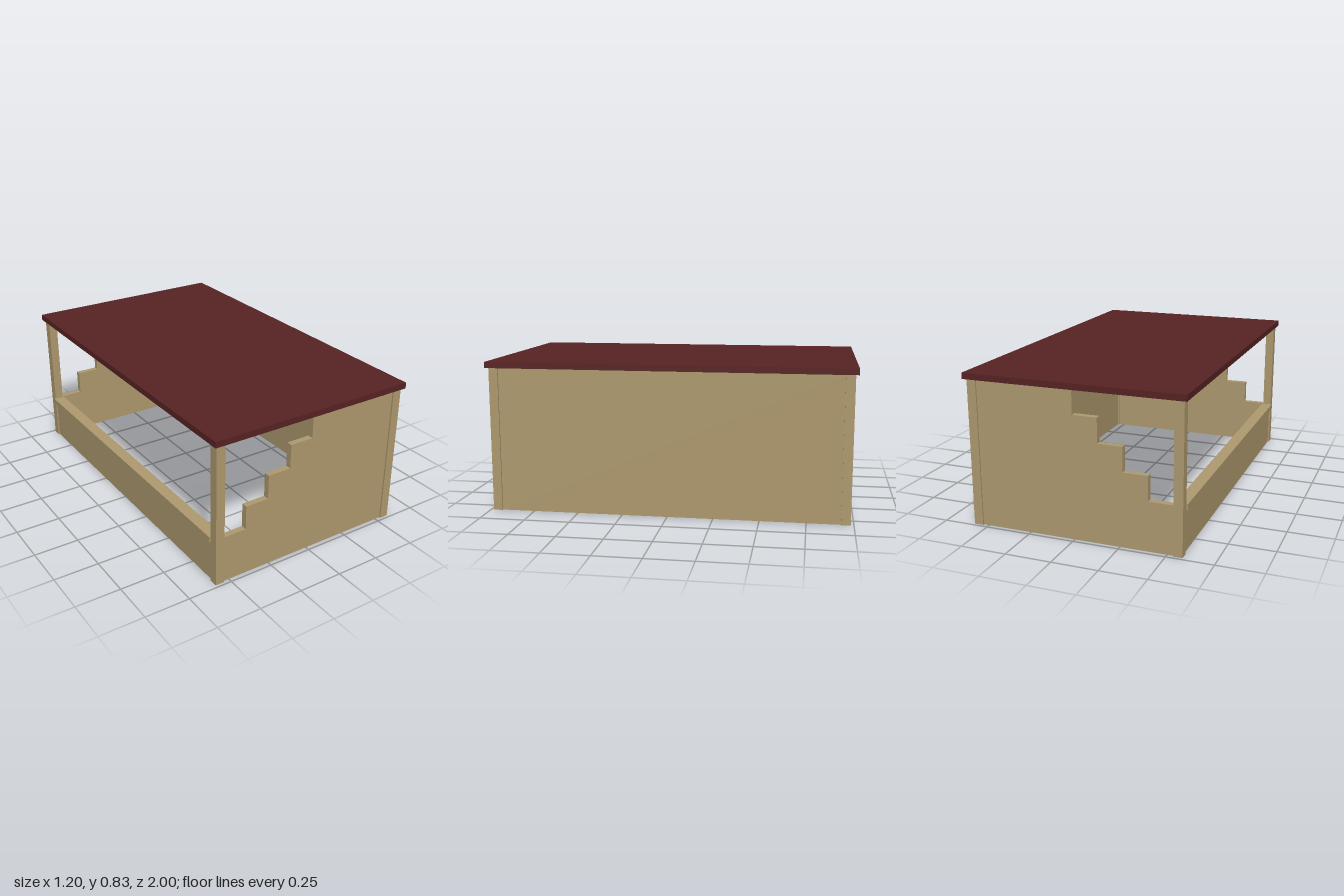
import * as THREE from 'three';

export function createModel() {
  const group = new THREE.Group();
  const wood = new THREE.MeshStandardMaterial({ color: 0xb09b70 });
  wood.name = 'tan wood';
  const red = new THREE.MeshStandardMaterial({ color: 0x582323 });
  red.name = 'dark red roof';

  // Box given by its centre x and z and its bottom y
  function box(name, material, w, h, d, x, y, z) {
    const mesh = new THREE.Mesh(new THREE.BoxGeometry(w, h, d), material);
    mesh.name = name;
    mesh.position.set(x, y + h / 2, z);
    group.add(mesh);
  }

  const wall = 0.0333, post = 0.05, height = 0.8;
  const postX = 0.5583, postZ = 0.9583;
  const innerX = postX - post / 2, innerZ = postZ - post / 2;

  // Roof slab
  box('roof', red, 1.2, 0.0333, 2, 0, height, 0);

  // Corner posts
  for (const sx of [-1, 1]) {
    for (const sz of [-1, 1]) {
      box('cornerPost', wood, post, height, post, sx * postX, 0, sz * postZ);
    }
  }

  // Full wall, and low wall with its counter on the open side
  box('fullWall', wood, wall, height, innerZ * 2, postX, 0, 0);
  box('lowWall', wood, wall, 0.2333, innerZ * 2, -postX, 0, 0);
  box('counter', wood, 0.0667, 0.0333, innerZ * 2, -postX, 0.2333, 0);

  // End walls rising in four equal steps
  const step = 0.4 / 3;
  const shape = new THREE.Shape();
  shape.moveTo(-innerX, 0);
  shape.lineTo(innerX, 0);
  shape.lineTo(innerX, height);
  for (let i = 0; i < 4; i++) {
    shape.lineTo(-i * step, height - i * step);
    shape.lineTo(-i * step, height - (i + 1) * step);
  }
  shape.lineTo(-innerX, height - 4 * step);
  const steppedGeometry = new THREE.ExtrudeGeometry(shape, { depth: wall, bevelEnabled: false });
  steppedGeometry.translate(0, 0, -wall / 2);
  for (const sz of [-1, 1]) {
    const mesh = new THREE.Mesh(steppedGeometry, wood);
    mesh.name = sz > 0 ? 'frontSteppedWall' : 'backSteppedWall';
    mesh.position.z = sz * postZ;
    group.add(mesh);
  }

  return group;
}
